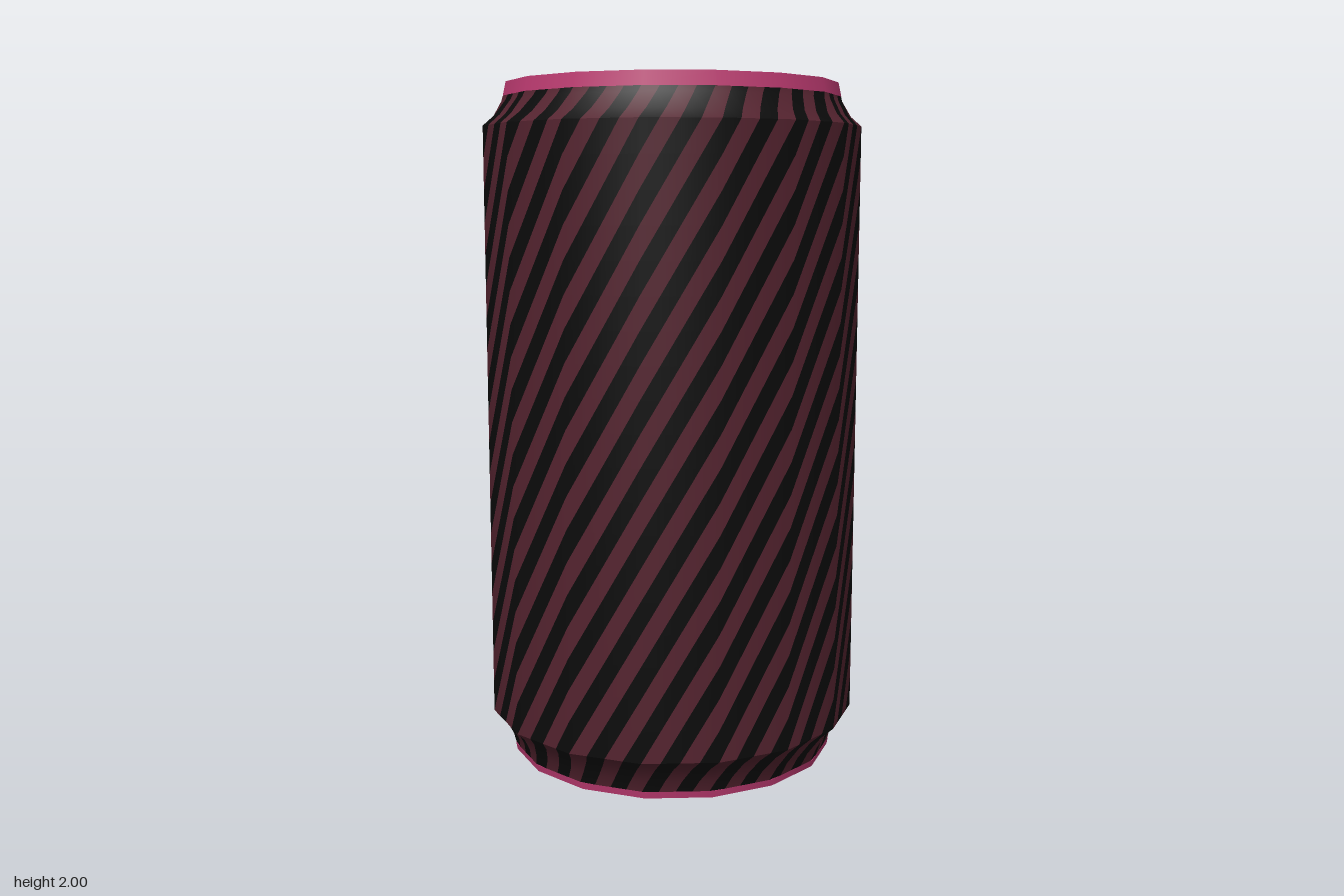
import * as THREE from 'three';

const SIDES = 16, COLS = 64, R = 0.555;
const BODY_LOW = 0.13, BODY_HIGH = 1.875, BODY_ROWS = 19;
const ROW = (BODY_HIGH - BODY_LOW) / BODY_ROWS; // height over which a stripe moves one column

const pink = new THREE.MeshStandardMaterial({ color: 0xb8396e });
pink.name = 'pink';
const burgundy = new THREE.MeshStandardMaterial({ color: 0x54232f });
burgundy.name = 'burgundy';
const black = new THREE.MeshStandardMaterial({ color: 0x0b0b0b });
black.name = 'black';

// Point on the 16-sided ring at a fractional column
function ringPoint(col, r) {
  const facet = Math.floor(col * SIDES / COLS + 1e-6);
  const t = col * SIDES / COLS - facet;
  const a = facet * 2 * Math.PI / SIDES, b = a + 2 * Math.PI / SIDES;
  return [
    r * (Math.sin(a) * (1 - t) + Math.sin(b) * t),
    r * (Math.cos(a) * (1 - t) + Math.cos(b) * t),
  ];
}

// Every second slanted band of one section; profile is a list of [radius, y]
function bands(profile, parity) {
  const positions = [], normals = [], index = [];
  const last = profile.length - 1;
  profile.forEach(([r, y], i) => {
    const [r0, y0] = profile[Math.max(i - 1, 0)];
    const [r1, y1] = profile[Math.min(i + 1, last)];
    const length = Math.hypot(r1 - r0, y1 - y0);
    const out = (y1 - y0) / length, up = (r0 - r1) / length;
    for (let j = 0; j <= COLS; j++) {
      const col = j + (y - BODY_LOW) / ROW;
      const [x, z] = ringPoint(col, r);
      const angle = col * 2 * Math.PI / COLS;
      positions.push(x, y, z);
      normals.push(Math.sin(angle) * out, up, Math.cos(angle) * out);
    }
  });
  for (let i = 0; i < last; i++) {
    for (let j = parity; j < COLS; j += 2) {
      const a = i * (COLS + 1) + j, c = a + COLS + 1;
      index.push(a, a + 1, c, a + 1, c + 1, c);
    }
  }
  const geometry = new THREE.BufferGeometry();
  geometry.setAttribute('position', new THREE.Float32BufferAttribute(positions, 3));
  geometry.setAttribute('normal', new THREE.Float32BufferAttribute(normals, 3));
  geometry.setIndex(index);
  return geometry;
}

export function createModel() {
  const model = new THREE.Group();
  model.name = 'can';

  // Striped wall: straight body and two concave necks
  const body = [];
  for (let i = 0; i <= BODY_ROWS; i++) body.push([R, BODY_LOW + i * ROW]);
  const sections = {
    lowerNeck: [[0.49, 0.02], [0.5, 0.055], [0.526, 0.1], [R, BODY_LOW]],
    body,
    upperNeck: [[R, BODY_HIGH], [0.527, 1.903], [0.501, 1.945], [0.496, 1.96]],
  };
  for (const [name, profile] of Object.entries(sections)) {
    const section = new THREE.Group();
    section.name = name;
    [burgundy, black].forEach((material, parity) => {
      const mesh = new THREE.Mesh(bands(profile, parity), material);
      mesh.name = material.name + 'Stripes';
      section.add(mesh);
    });
    model.add(section);
  }

  // Pink lid and base, each a rim with a flat cap
  const addEnd = (name, top, bottom, y0, y1) => {
    const geometry = new THREE.CylinderGeometry(top, bottom, y1 - y0, SIDES);
    const mesh = new THREE.Mesh(geometry, pink);
    mesh.name = name;
    mesh.position.y = (y0 + y1) / 2;
    model.add(mesh);
  };
  addEnd('lid', 0.487, 0.496, 1.96, 2);
  addEnd('base', 0.49, 0.487, 0, 0.02);

  return model;
}
